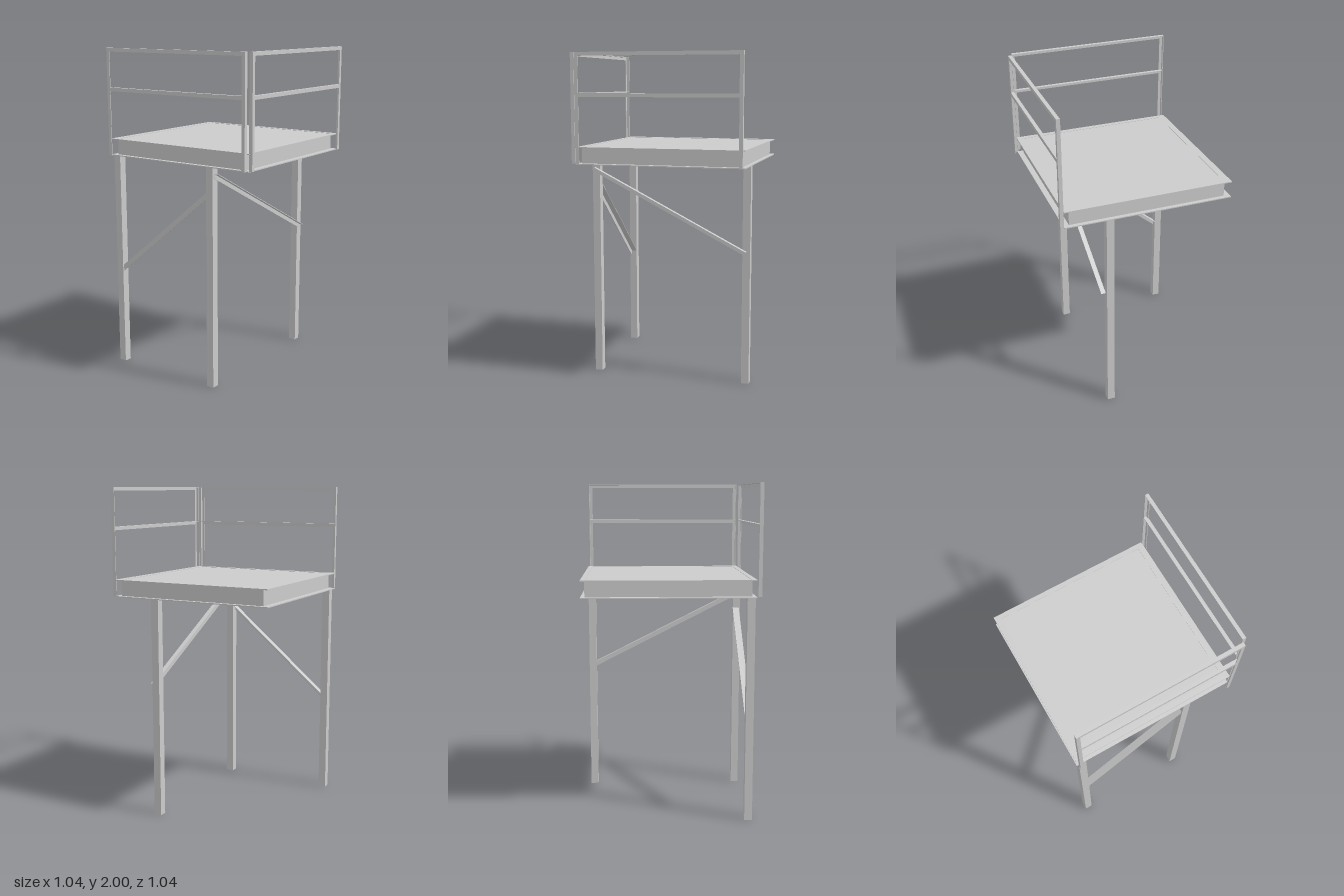
import * as THREE from 'three';

const mat = new THREE.MeshStandardMaterial({ color: 0xcccccc, flatShading: true, side: THREE.DoubleSide });
const V = (x, y, z) => new THREE.Vector3(x, y, z);

function rect(target, x0, x1, z0, z1) {
  target.moveTo(x0, -z0);
  target.lineTo(x1, -z0);
  target.lineTo(x1, -z1);
  target.lineTo(x0, -z1);
  target.closePath();
  return target;
}

// Rectangular ring in plan, extruded upwards; bounds are [x0, x1, z0, z1]
function ring(name, outer, inner, y, height) {
  const shape = rect(new THREE.Shape(), ...outer);
  shape.holes.push(rect(new THREE.Path(), ...inner));
  const geo = new THREE.ExtrudeGeometry(shape, { depth: height, bevelEnabled: false });
  geo.rotateX(-Math.PI / 2).translate(0, y, 0);
  const mesh = new THREE.Mesh(geo, mat);
  mesh.name = name;
  return mesh;
}

// Steel angle whose corner runs from a to b, with flanges along d1 and d2
function angleBar(name, a, b, d1, d2, w = 0.022, t = 0.004) {
  const dir = b.clone().sub(a);
  const length = dir.length();
  dir.normalize();
  if (d1.clone().cross(d2).dot(dir) < 0) [d1, d2] = [d2, d1];
  const shape = new THREE.Shape([[0, 0], [w, 0], [w, t], [t, t], [t, w], [0, w]]
    .map(([x, y]) => new THREE.Vector2(x, y)));
  const geo = new THREE.ExtrudeGeometry(shape, { depth: length, bevelEnabled: false });
  geo.applyMatrix4(new THREE.Matrix4().makeBasis(d1, d2, dir).setPosition(a));
  const mesh = new THREE.Mesh(geo, mat);
  mesh.name = name;
  return mesh;
}

// Railing built along x from x0 to x1, outer face at z
function railing(name, x0, x1, z) {
  const g = new THREE.Group();
  g.name = name;
  const inward = V(0, 0, -1);
  for (const [x, s] of [[x0, 1], [x1, -1]]) {
    g.add(angleBar('railPost', V(x, 1.35, z), V(x, 2, z), V(s, 0, 0), inward));
  }
  for (const [part, y] of [['topRail', 2], ['midRail', 1.765]]) {
    g.add(angleBar(part, V(x0, y, z), V(x1, y, z), V(0, -1, 0), inward));
  }
  return g;
}

export function createModel() {
  const model = new THREE.Group();
  model.name = 'platform';

  // Channel frame: web with flanges facing outwards
  const outer = [-0.522, 0.5, -0.525, 0.49];
  const inner = [-0.48, 0.46, -0.495, 0.46];
  const t = 0.006;
  const web = [inner[0] - t, inner[1] + t, inner[2] - t, inner[3] + t];
  model.add(
    ring('frameWeb', web, inner, 1.35, 0.096),
    ring('bottomFlange', outer, inner, 1.345, t),
    ring('topFlange', outer, inner, 1.444, t),
  );

  // Deck plate
  const deck = new THREE.Mesh(new THREE.BoxGeometry(0.94, 0.01, 0.955), mat);
  deck.name = 'deck';
  deck.position.set(-0.01, 1.443, -0.0175);
  model.add(deck);

  // Three hollow square legs
  const h = 0.0235, k = 0.0195;
  for (const [x, z] of [[-0.4815, 0.4605], [0.225, 0.4605], [0.225, -0.4895]]) {
    model.add(ring('leg', [x - h, x + h, z - h, z + h], [x - k, x + k, z - k, z + k], 0, 1.35));
  }

  // Diagonal braces
  model.add(angleBar('frontBrace', V(-0.458, 0.648, 0.475), V(0.203, 1.2, 0.475),
    V(0, -1, 0), V(0, 0, -1), 0.04));
  model.add(angleBar('sideBrace', V(0.249, 0.825, -0.49), V(0.249, 1.308, 0.463),
    V(1, 0, 0), V(0, -0.892, 0.452), 0.028));

  // Railings on the front and on the +x side
  model.add(railing('frontRailing', -0.512, 0.493, 0.52));
  const side = railing('sideRailing', -0.485, 0.515, 0.52);
  side.rotation.y = Math.PI / 2;
  model.add(side);

  return model;
}
